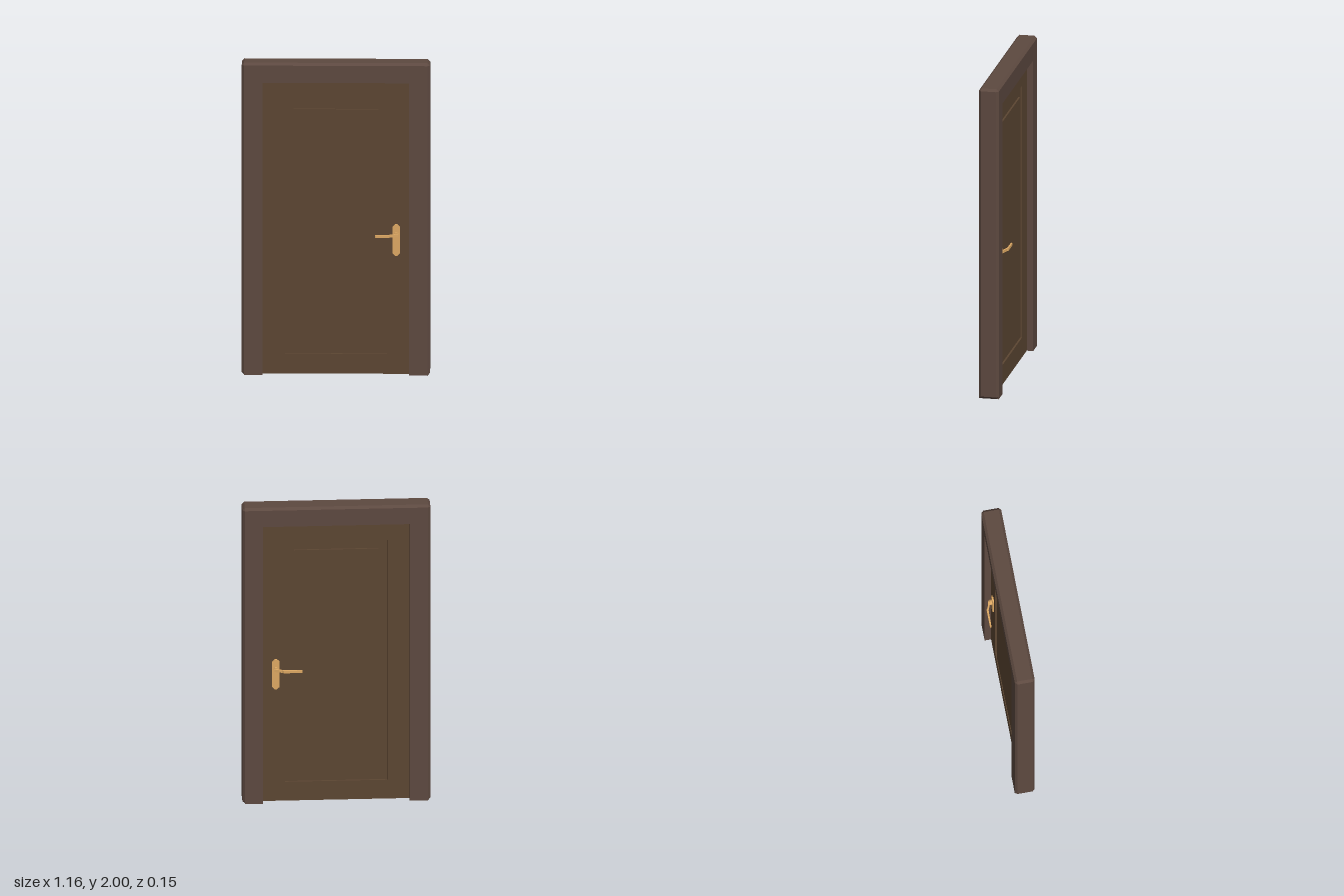
import * as THREE from 'three';

const wood = (color) => new THREE.MeshStandardMaterial({ color, flatShading: true });
const frameMat = wood(0x5d4940), doorMat = wood(0x5c4632), brassMat = wood(0xdda863);

function add(parent, name, geometry, material, x = 0, y = 0, z = 0) {
  const mesh = new THREE.Mesh(geometry, material);
  mesh.name = name;
  mesh.position.set(x, y, z);
  parent.add(mesh);
  return mesh;
}

const polygon = (points) => new THREE.Shape(points.map(([x, y]) => new THREE.Vector2(x, y)));
const extrude = (shape, depth, steps = 1) =>
  new THREE.ExtrudeGeometry(shape, { depth, steps, bevelEnabled: false });

// U-shaped surround: sharp inner edges, chamfered outer edges
function frameGeometry() {
  const w = 0.58, h = 2, c = 0.015, inner = 0.452, top = 1.875, half = 0.0625;
  const right = [[inner, top], [inner, 0], [w - c, 0], [w, c], [w, h - c], [w - c, h]];
  const left = right.map(([x, y]) => [-x, y]).reverse();
  const geo = extrude(polygon([...right, ...left]), 3, 3);
  const layers = [-half, -half + c, half - c, half];
  const pos = geo.attributes.position;
  for (let i = 0; i < pos.count; i++) {
    const layer = Math.round(pos.getZ(i));
    pos.setZ(i, layers[layer]);
    if (layer === 0 || layer === 3) { // pull in the front and back outlines
      pos.setX(i, THREE.MathUtils.clamp(pos.getX(i), c - w, w - c));
      pos.setY(i, Math.min(pos.getY(i), h - c));
    }
  }
  geo.computeVertexNormals();
  return geo;
}

// Door leaf: border, recessed groove and raised centre panel
function buildDoor() {
  const door = new THREE.Group();
  door.name = 'door';
  const border = polygon([[-0.452, 0], [0.452, 0], [0.452, 1.875], [-0.452, 1.875]]);
  border.holes.push(polygon([[-0.315, 0.127], [-0.315, 1.753], [0.315, 1.753], [0.315, 0.127]]));
  add(door, 'doorBorder', extrude(border, 0.044), doorMat, 0, 0, -0.022);
  add(door, 'panelGroove', new THREE.BoxGeometry(0.63, 1.626, 0.02), doorMat, 0, 0.94);
  add(door, 'raisedPanel', new THREE.BoxGeometry(0.522, 1.51, 0.042), doorMat, 0, 0.94);
  return door;
}

// Handle on one face: side is 1 for the front, -1 for the back
function buildHandle(side, tip) {
  const handle = new THREE.Group();
  handle.name = side > 0 ? 'frontHandle' : 'backHandle';
  const x = 0.372, y = 0.894;

  // Long plate with clipped corners
  const a = 0.023, b = 0.1, c = 0.016;
  const plate = polygon([[-a + c, -b], [a - c, -b], [a, -b + c], [a, b - c],
    [a - c, b], [-a + c, b], [-a, b - c], [-a, -b + c]]);
  add(handle, 'handlePlate', extrude(plate, 0.012), brassMat, x, 0.86, side > 0 ? 0.02 : -0.032);

  const stem = new THREE.CylinderGeometry(0.017, 0.017, 0.025, 8).rotateX(Math.PI / 2);
  stem.rotateZ(Math.PI / 8);
  add(handle, 'handleCollar', stem, brassMat, x, y, side * 0.0325);

  // Lever bending out from the collar, then running along the door
  const t = 0.016;
  const lever = polygon([[x + 0.01, 0.04], [x + 0.01, 0.052], [0.335, 0.0655], [0.325, 0.0735],
    [tip + 0.004, 0.0735], [tip, 0.07], [tip, 0.064], [0.32, 0.062], [x - 0.012, 0.046],
    [x - 0.012, 0.04]].map(([px, pz]) => [px, pz * side]));
  add(handle, 'lever', extrude(lever, t).rotateX(Math.PI / 2), brassMat, 0, y + t / 2, 0);
  return handle;
}

export function createModel() {
  const model = new THREE.Group();
  model.name = 'doorWithFrame';
  add(model, 'doorFrame', frameGeometry(), frameMat);
  model.add(buildDoor(), buildHandle(1, 0.24), buildHandle(-1, 0.21));
  return model;
}
